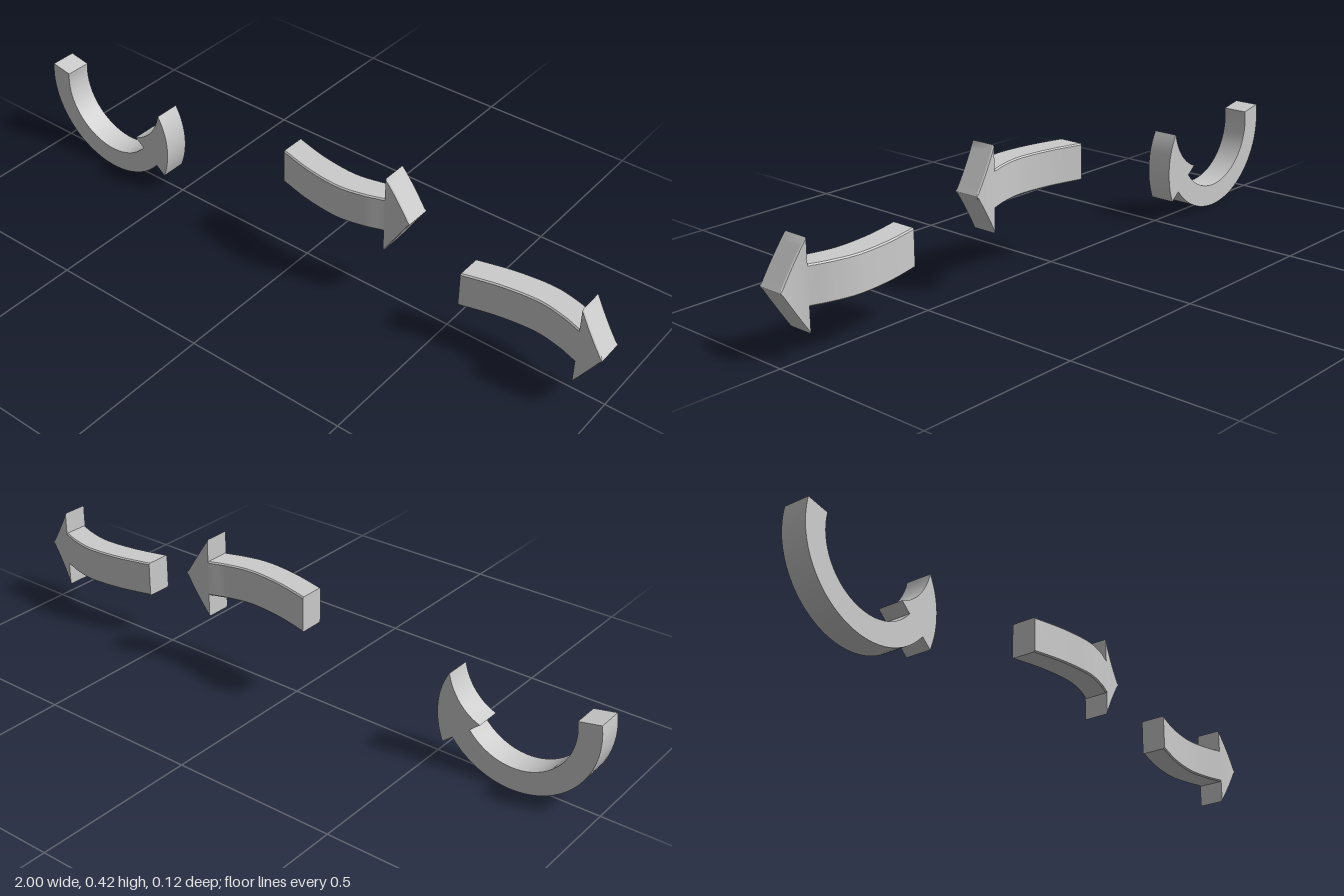
import * as THREE from 'three';
import { toCreasedNormals } from 'three/addons/utils/BufferGeometryUtils.js';

const material = new THREE.MeshStandardMaterial({ color: 0xcccccc });
const HALF_DEPTH = 0.04;

// Lofts an arrow outline along u; place(u, v, w) maps length, width and depth to space
function arrowGeometry({ start, neck, tip, shaftHalf, headHalf, chamfer, place }) {
  const sections = [];
  const shaftSteps = 28, headSteps = 12;
  for (let i = 0; i <= shaftSteps; i++) {
    sections.push([start + (neck - start) * i / shaftSteps, shaftHalf]);
  }
  for (let i = 0; i <= headSteps; i++) {
    const t = i / headSteps;
    sections.push([neck + (tip - neck) * t, Math.max(headHalf * (1 - t), 0.0005)]);
  }

  // Rectangular cross-section, with cut corners where a chamfer is wanted
  const ring = (h) => {
    const d = HALF_DEPTH, c = Math.min(chamfer, h * 0.5);
    if (!chamfer) return [[h, -d], [h, d], [-h, d], [-h, -d]];
    return [
      [h, -d + c], [h, d - c], [h - c, d], [-h + c, d],
      [-h, d - c], [-h, -d + c], [-h + c, -d], [h - c, -d],
    ];
  };

  const positions = [], index = [];
  const n = ring(shaftHalf).length;
  for (const [u, h] of sections) {
    for (const [v, w] of ring(h)) positions.push(...place(u, v, w));
  }
  const last = (sections.length - 1) * n;
  for (let i = 0; i < last; i += n) {
    for (let j = 0; j < n; j++) {
      const k = (j + 1) % n;
      index.push(i + j, i + k, i + n + k, i + j, i + n + k, i + n + j);
    }
  }
  // End caps
  for (let j = 1; j < n - 1; j++) {
    index.push(0, j + 1, j, last, last + j, last + j + 1);
  }
  const geometry = new THREE.BufferGeometry();
  geometry.setAttribute('position', new THREE.Float32BufferAttribute(positions, 3));
  geometry.setIndex(index);
  return toCreasedNormals(geometry, Math.PI / 7);
}

// Gentle wave followed by the straight arrows, as depth over length
const wave = new THREE.SplineCurve([
  [-0.22, -0.018], [-0.11, 0.009], [0, 0.02], [0.08, 0.007],
  [0.14, -0.0125], [0.18, -0.02], [0.22, -0.022],
].map(([x, z]) => new THREE.Vector2(x, z)));
const waveSamples = wave.getPoints(120);

function waveDepth(x) {
  let i = 1;
  while (i < waveSamples.length - 1 && waveSamples[i].x < x) i++;
  const a = waveSamples[i - 1], b = waveSamples[i];
  return a.y + (b.y - a.y) * (x - a.x) / (b.x - a.x);
}

function wavyArrow(name, x, y, bend) {
  const mesh = new THREE.Mesh(arrowGeometry({
    start: -0.218, neck: 0.14, tip: 0.218,
    shaftHalf: 0.055, headHalf: 0.125, chamfer: 0.004,
    place: (u, v, w) => [u, v, w + bend * waveDepth(u)],
  }), material);
  mesh.name = name;
  mesh.position.set(x, y, 0);
  return mesh;
}

export function createModel() {
  const group = new THREE.Group();
  group.name = 'arrows';

  // Arrow wrapped around a half circle; u is the angle, v points inward
  const curved = new THREE.Mesh(arrowGeometry({
    start: THREE.MathUtils.degToRad(-191), neck: THREE.MathUtils.degToRad(-40),
    tip: THREE.MathUtils.degToRad(9),
    shaftHalf: 0.034, headHalf: 0.074, chamfer: 0,
    place: (u, v, w) => [(0.211 - v) * Math.cos(u), (0.211 - v) * Math.sin(u), w],
  }), material);
  curved.name = 'curvedArrow';
  curved.position.set(-0.755, 0.245, 0);
  group.add(curved);

  // Two straight arrows waving in opposite directions
  group.add(wavyArrow('forwardBentArrow', 0.151, 0.3, 1));
  group.add(wavyArrow('backwardBentArrow', 0.782, 0.2, -1));
  return group;
}
